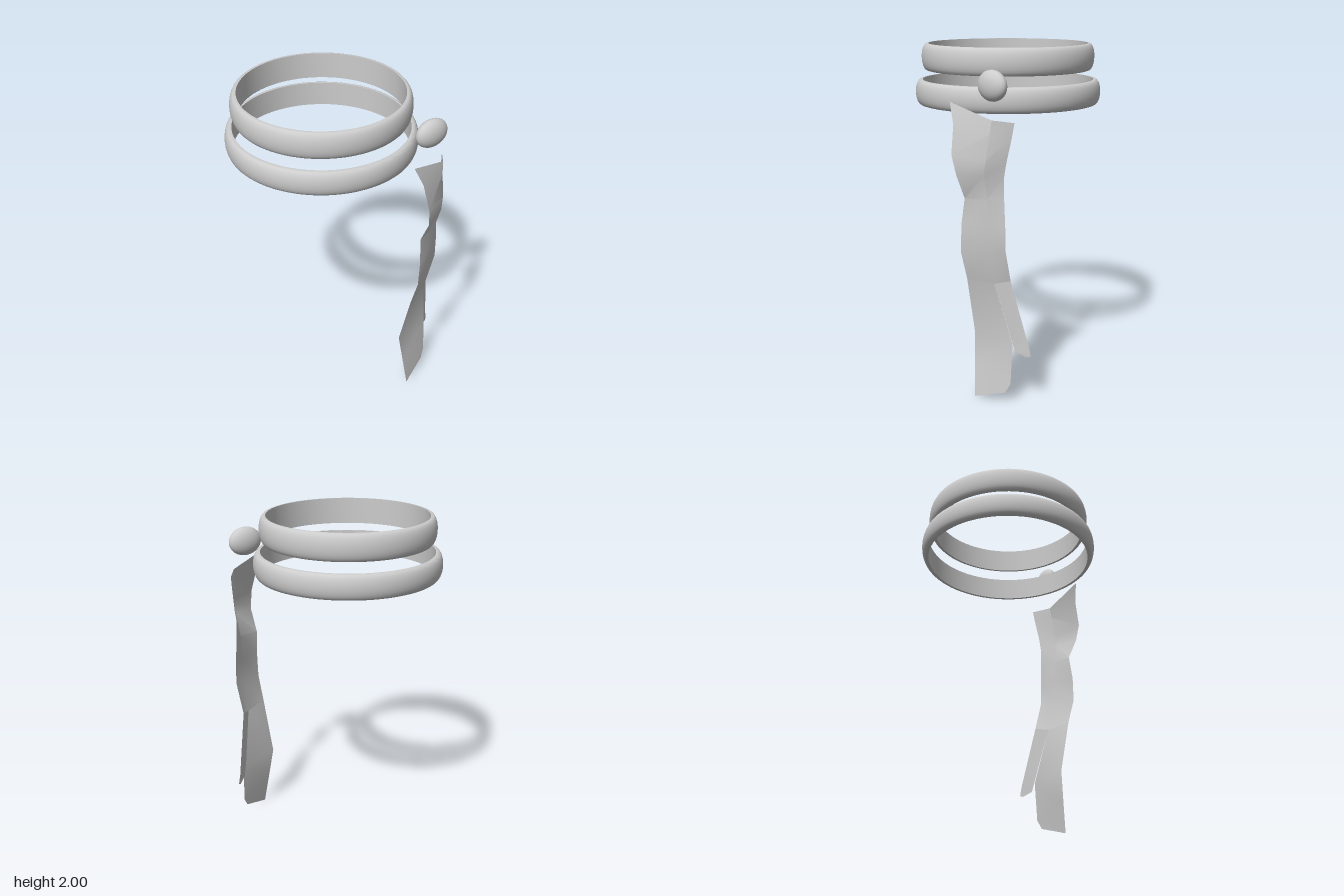
import * as THREE from 'three';
import { toCreasedNormals } from 'three/addons/utils/BufferGeometryUtils.js';

const silver = new THREE.MeshStandardMaterial({ color: 0xcccccc });
silver.name = 'silver';
const cloth = new THREE.MeshStandardMaterial({ color: 0xcbcbcb, side: THREE.DoubleSide });
cloth.name = 'cloth';

// Hollow band with a rounded outer face and a straight inner wall
function band(name, inner, rim, outer, y0, y1) {
  const h = y1 - y0, p = [new THREE.Vector2(inner, y0)];
  for (let i = 0; i <= 12; i++) {
    const a = (i / 12) * Math.PI;
    p.push(new THREE.Vector2(rim + (outer - rim) * Math.sin(a), y0 + h * (0.5 - 0.5 * Math.cos(a))));
  }
  p.push(new THREE.Vector2(inner, y1), new THREE.Vector2(inner, y0));
  const mesh = new THREE.Mesh(toCreasedNormals(new THREE.LatheGeometry(p, 80), 0.7), silver);
  mesh.name = name;
  mesh.position.set(-0.026, 0, -0.048);
  return mesh;
}

// Sheet through rows of points, each row running left to right
function sheet(name, rows) {
  const n = rows[0].length, index = [];
  for (let r = 0; r < rows.length - 1; r++) {
    for (let c = 0; c < n - 1; c++) {
      const a = r * n + c, b = a + n;
      index.push(a, b, a + 1, a + 1, b, b + 1);
    }
  }
  const g = new THREE.BufferGeometry();
  g.setAttribute('position', new THREE.Float32BufferAttribute(rows.flat(2), 3));
  g.setIndex(index);
  const mesh = new THREE.Mesh(toCreasedNormals(g, 0.5), cloth);
  mesh.name = name;
  return mesh;
}

export function createModel() {
  const model = new THREE.Group();
  model.name = 'bandsWithRibbon';

  model.add(band('upperBand', 0.472, 0.482, 0.512, 1.845, 2.0));
  model.add(band('lowerBand', 0.508, 0.52, 0.551, 1.645, 1.79));

  // Flattened bead in front of the bands
  const bead = new THREE.Mesh(new THREE.SphereGeometry(1, 40, 24), silver);
  bead.name = 'bead';
  bead.rotation.z = Math.PI / 2;
  bead.scale.set(0.085, 0.105, 0.053);
  bead.position.set(0.385, 1.81, 0.423);
  model.add(bead);

  // Creased upper ribbon: left edge, fold, right edge
  model.add(sheet('ribbon', [
    [[0.17, 1.715, 0.545], [0.44, 1.635, 0.475], [0.515, 1.62, 0.38]],
    [[0.225, 1.6, 0.565], [0.435, 1.56, 0.485], [0.505, 1.54, 0.39]],
    [[0.25, 1.44, 0.60], [0.43, 1.42, 0.51], [0.483, 1.4, 0.41]],
    [[0.27, 1.33, 0.585], [0.42, 1.34, 0.515], [0.47, 1.32, 0.415]],
    [[0.267, 1.19, 0.525], [0.41, 1.2, 0.48], [0.476, 1.19, 0.418]],
    [[0.26, 1.04, 0.545], [0.41, 1.04, 0.475], [0.487, 1.04, 0.42]],
    [[0.255, 0.88, 0.545], [0.41, 0.9, 0.468], [0.488, 0.92, 0.42]],
    [[0.25, 0.72, 0.50], [0.405, 0.71, 0.43], [0.475, 0.73, 0.37]],
  ]));

  // Long lower tail
  model.add(sheet('longTail', [
    [[0.25, 0.72, 0.50], [0.405, 0.71, 0.43]],
    [[0.23, 0.38, 0.43], [0.49, 0.36, 0.368]],
    [[0.255, 0.19, 0.452], [0.49, 0.12, 0.383]],
    [[0.28, 0.0, 0.475], [0.46, 0.06, 0.40]],
  ]));

  // Short tail flaring to the side
  model.add(sheet('shortTail', [
    [[0.405, 0.71, 0.43], [0.475, 0.73, 0.37]],
    [[0.472, 0.4, 0.368], [0.555, 0.35, 0.305]],
    [[0.495, 0.31, 0.352], [0.57, 0.29, 0.30]],
    [[0.495, 0.305, 0.352], [0.55, 0.28, 0.312]],
  ]));

  return model;
}
